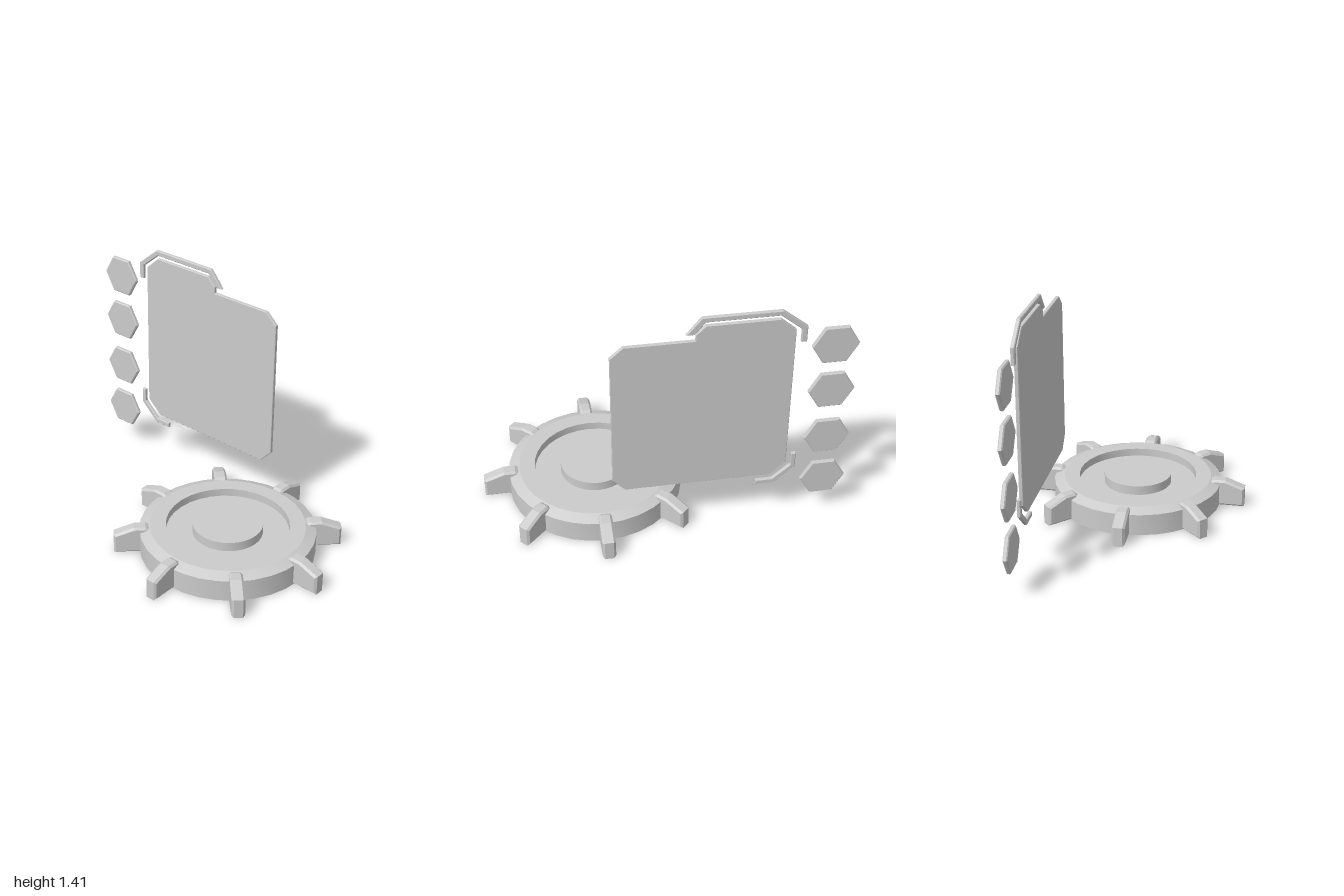
import * as THREE from 'three';
import { toCreasedNormals } from 'three/addons/utils/BufferGeometryUtils.js';

const material = new THREE.MeshStandardMaterial({ color: 0xcccccc });
const shellMaterial = new THREE.MeshStandardMaterial({ color: 0xcccccc, side: THREE.DoubleSide });

// Flat outline extruded along z, centred on z = 0, with chamfered edges inside the outline
function plate(points, thickness, bevel) {
  const shape = new THREE.Shape(points.map(([x, y]) => new THREE.Vector2(x, y)));
  const geometry = new THREE.ExtrudeGeometry(shape, {
    depth: thickness - 2 * bevel,
    bevelEnabled: true,
    bevelThickness: bevel,
    bevelSize: bevel,
    bevelOffset: -bevel,
    bevelSegments: 1,
  });
  return geometry.translate(0, 0, bevel - thickness / 2);
}

function add(parent, name, geometry, mat = material) {
  const mesh = new THREE.Mesh(geometry, mat);
  mesh.name = name;
  parent.add(mesh);
  return mesh;
}

// Round emitter base: open-bottomed shell with a recess and raised disc, plus eight feet
function createBase() {
  const base = new THREE.Group();
  base.name = 'projectorBase';
  const profile = [
    [0.5, 0], [0.5, 0.127], [0.44, 0.152], [0.35, 0.152],
    [0.35, 0.105], [0.2, 0.105], [0.2, 0.16], [0, 0.16],
  ].map(([r, y]) => new THREE.Vector2(r, y));
  const shell = new THREE.LatheGeometry(profile, 32);
  add(base, 'baseShell', toCreasedNormals(shell, 0.35), shellMaterial);

  const foot = plate([
    [0.43, 0], [0.645, 0], [0.645, 0.117], [0.53, 0.16], [0.465, 0.16], [0.43, 0.14],
  ], 0.074, 0.012);
  for (let i = 0; i < 8; i++) {
    add(base, 'foot', foot).rotation.y = (i * Math.PI) / 4;
  }
  base.position.x = 0.353;
  return base;
}

// Upright screen with side buttons and corner trim
function createDisplay() {
  const display = new THREE.Group();
  display.name = 'display';

  add(display, 'screen', plate([
    [-0.655, 0.4], [-0.565, 0.32], [0.235, 0.32], [0.305, 0.395],
    [0.305, 1.21], [0.235, 1.273], [-0.135, 1.273], [-0.135, 1.31],
    [-0.185, 1.36], [-0.57, 1.36], [-0.655, 1.285],
  ], 0.022, 0.003));

  add(display, 'upperTrim', plate([
    [-0.715, 1.205], [-0.685, 1.205], [-0.685, 1.285], [-0.57, 1.38],
    [-0.185, 1.38], [-0.13, 1.31], [-0.085, 1.31], [-0.165, 1.41],
    [-0.58, 1.41], [-0.715, 1.3],
  ], 0.022, 0.004));

  add(display, 'lowerTrim', plate([
    [-0.71, 0.455], [-0.71, 0.36], [-0.595, 0.255], [-0.49, 0.255],
    [-0.49, 0.285], [-0.583, 0.285], [-0.683, 0.375], [-0.683, 0.455],
  ], 0.022, 0.004));

  const hexagon = [];
  for (let i = 0; i < 6; i++) {
    const a = (i * Math.PI) / 3;
    hexagon.push([0.127 * Math.cos(a), 0.127 * Math.sin(a)]);
  }
  const button = plate(hexagon, 0.026, 0.006);
  for (const y of [0.26, 0.558, 0.873, 1.165]) {
    add(display, 'hexButton', button).position.set(-0.873, y, 0);
  }
  display.position.z = -0.445;
  return display;
}

export function createModel() {
  const model = new THREE.Group();
  model.name = 'hologramProjector';
  model.add(createBase(), createDisplay());
  return model;
}
